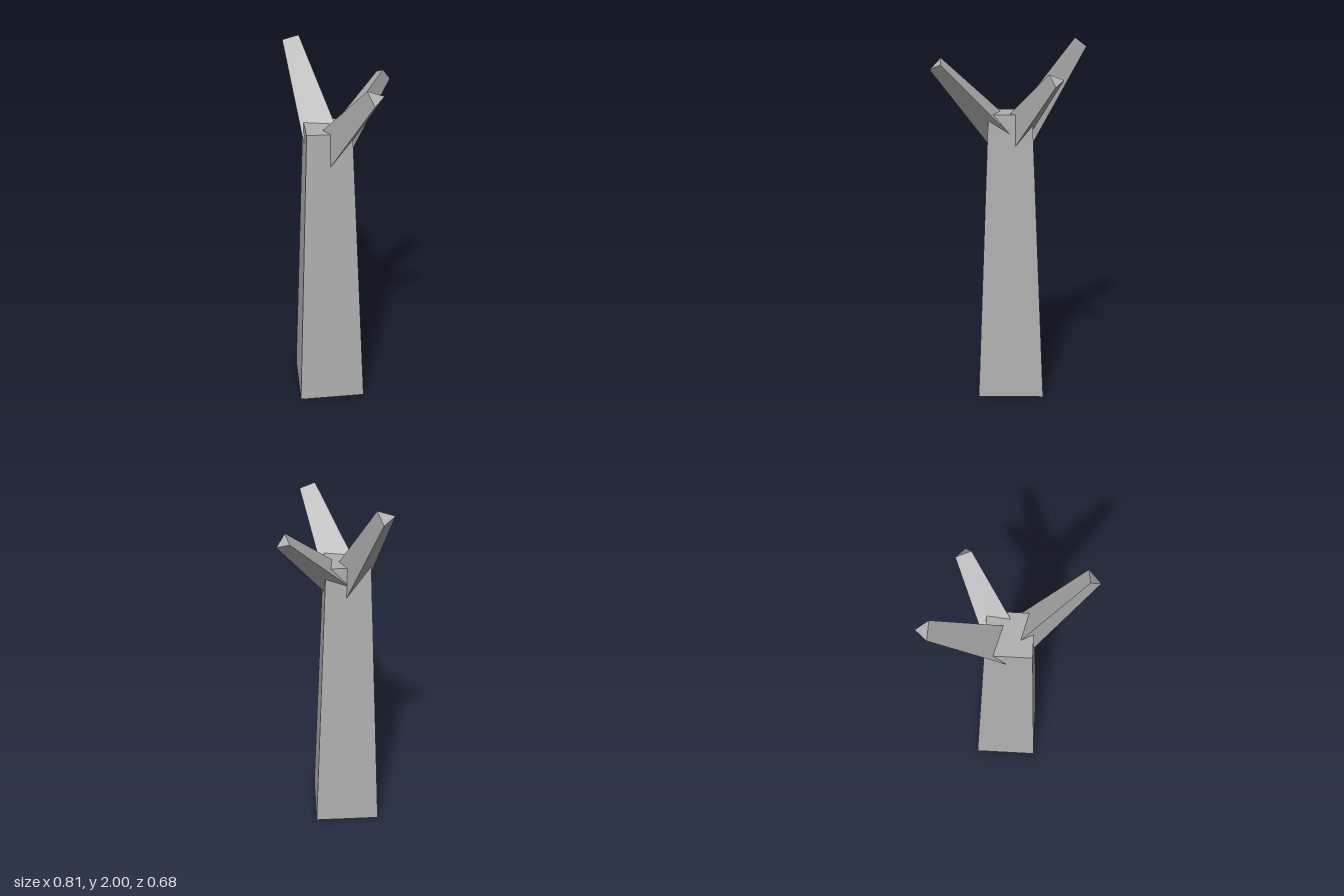
import * as THREE from 'three';

export function createModel() {
  const group = new THREE.Group();
  const grey = new THREE.MeshStandardMaterial({ color: 0xb0b0b0, flatShading: true, side: THREE.DoubleSide });
  grey.name = 'grey bark';

  const add = (name, geometry) => {
    const mesh = new THREE.Mesh(geometry, grey);
    mesh.name = name;
    group.add(mesh);
    return mesh;
  };

  // Four-sided tapering trunk, open underneath, closed on top
  const axisX = -0.014, axisZ = 0.08, height = 1.61;
  add('trunk', new THREE.CylinderGeometry(0.165, 0.26, height, 4, 1, true))
    .position.set(axisX, height / 2, axisZ);
  add('trunkTop', new THREE.CircleGeometry(0.165, 4).rotateX(-Math.PI / 2))
    .position.set(axisX, height, axisZ);

  // Three-sided branch: a tip triangle, enlarged about a root on the trunk axis
  const root = new THREE.Vector3(axisX, 1.45, axisZ);
  const branch = (name, corners) => {
    const tip = corners.map((c) => new THREE.Vector3(...c));
    const centre = new THREE.Vector3();
    tip.forEach((p) => centre.addScaledVector(p, 1 / 3));
    const base = tip.map((p) => p.clone().sub(centre).multiplyScalar(2.25).add(root));
    const points = [...tip];
    for (let i = 0; i < 3; i++) {
      const j = (i + 1) % 3;
      points.push(base[i], base[j], tip[j], base[i], tip[j], tip[i]);
    }
    const geometry = new THREE.BufferGeometry().setFromPoints(points);
    geometry.computeVertexNormals();
    add(name, geometry);
  };

  branch('leftBranch', [[0.405, 1.85, 0.247], [0.4, 1.88, 0.165], [0.345, 1.91, 0.228]]);
  branch('rightBranch', [[-0.405, 1.975, -0.03], [-0.34, 2.0, -0.088], [-0.405, 1.95, -0.115]]);
  branch('backBranch', [[0.003, 1.81, -0.325], [0.072, 1.84, -0.285], [0.08, 1.78, -0.34]]);

  return group;
}
